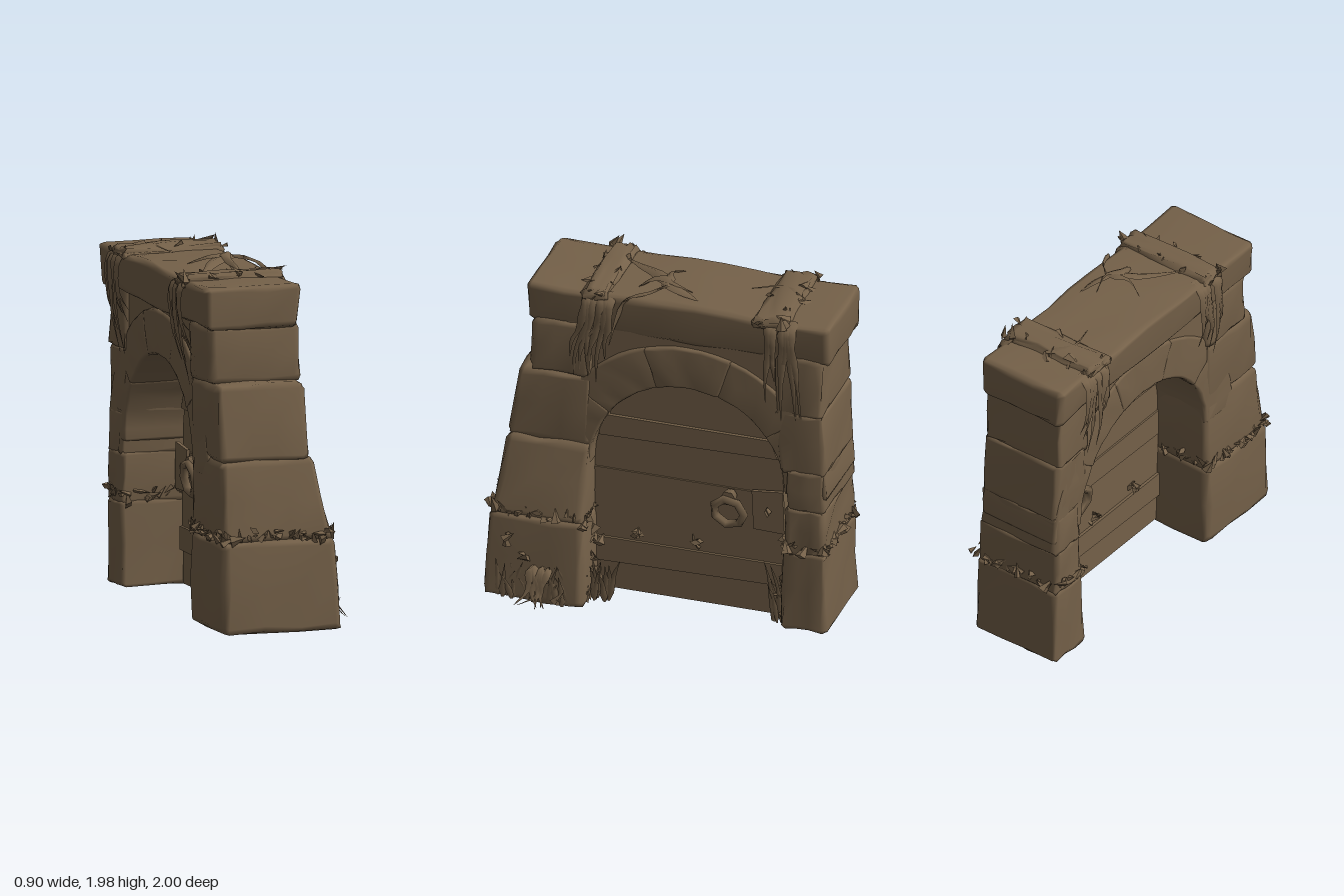
import * as THREE from 'three';
import { mergeVertices, mergeGeometries, toCreasedNormals } from 'three/addons/utils/BufferGeometryUtils.js';

const brown = new THREE.MeshStandardMaterial({ color: 0x756149, side: THREE.DoubleSide });
brown.name = 'weathered brown';

let seed = 7;
const rnd = () => ((seed = (seed * 16807) % 2147483647) / 2147483647);
const spread = (a) => (rnd() - 0.5) * 2 * a;
const V = (x, y, z) => new THREE.Vector3(x, y, z);

export function createModel() {
  const group = new THREE.Group();
  group.name = 'stoneArchDoorway';

  function add(name, geo) {
    const mesh = new THREE.Mesh(geo, brown);
    mesh.name = name;
    group.add(mesh);
  }

  // Rounded block; map turns (u, v, w) in -1..1 into its place, size sets the rounding
  function block(name, size, map, bevel = 0.04, rough = 0.009, n = [5, 4, 5]) {
    let g = new THREE.BoxGeometry(2, 2, 2, ...n);
    g.deleteAttribute('normal');
    g.deleteAttribute('uv');
    g = mergeVertices(g);
    const p = g.attributes.position;
    const half = size.map((s) => s / 2);
    for (let i = 0; i < p.count; i++) {
      const q = [p.getX(i), p.getY(i), p.getZ(i)].map((c, k) => (Math.abs(c) > 0.99
        ? Math.sign(c) * half[k] : c / (1 - 2 / n[k]) * (half[k] - bevel)));
      const core = V(...q.map((c, k) => THREE.MathUtils.clamp(c, bevel - half[k], half[k] - bevel)));
      const out = V(...q).sub(core);
      if (out.length() > 0) out.setLength(bevel);
      core.add(out);
      const m = map(core.x / half[0], core.y / half[1], core.z / half[2]);
      p.setXYZ(i, m.x + spread(rough), Math.max(0, m.y + spread(rough)), m.z + spread(rough));
    }
    g.computeVertexNormals();
    add(name, g);
  }

  // Block that tapers from its base rectangle to its top rectangle: [x0, x1, z0, z1]
  function taper(name, y0, y1, base, top, bevel, rough) {
    const size = [base[1] - base[0], y1 - y0, base[3] - base[2]];
    block(name, size, (u, v, w) => {
      const r = base.map((b, k) => THREE.MathUtils.lerp(b, top[k], (v + 1) / 2));
      return V(THREE.MathUtils.lerp(r[0], r[1], (u + 1) / 2),
        THREE.MathUtils.lerp(y0, y1, (v + 1) / 2),
        THREE.MathUtils.lerp(r[2], r[3], (w + 1) / 2));
    }, bevel, rough);
  }

  // Extrude a (z, y) outline from x0 to x1
  function slab(name, shape, x0, x1) {
    const g = new THREE.ExtrudeGeometry(shape, { depth: x1 - x0, bevelEnabled: false, curveSegments: 24 });
    g.rotateY(-Math.PI / 2).translate(x1, 0, 0);
    add(name, toCreasedNormals(g, 0.6));
  }

  // Wide front pillar
  taper('widePillar', 0, 0.52, [-0.365, 0.335, 0.4, 0.98], [-0.36, 0.3, 0.405, 0.955]);
  taper('widePillar', 0.5, 0.96, [-0.36, 0.295, 0.41, 0.945], [-0.34, 0.19, 0.41, 0.88]);
  taper('widePillar', 0.94, 1.38, [-0.34, 0.175, 0.41, 0.89], [-0.36, 0.165, 0.4, 0.825]);
  taper('widePillar', 1.36, 1.7, [-0.365, 0.165, 0.4, 0.765], [-0.37, 0.16, 0.4, 0.75]);
  // Narrow rear pillar
  taper('narrowPillar', 0.02, 0.5, [-0.36, 0.2, -0.97, -0.695], [-0.355, 0.19, -0.96, -0.72], 0.025);
  taper('narrowPillar', 0.48, 0.77, [-0.355, 0.19, -0.955, -0.725], [-0.35, 0.18, -0.95, -0.725], 0.025);
  taper('narrowPillar', 0.75, 1.0, [-0.35, 0.175, -0.955, -0.73], [-0.345, 0.17, -0.945, -0.73], 0.025);
  taper('narrowPillar', 0.98, 1.36, [-0.34, 0.17, -0.95, -0.69], [-0.35, 0.165, -0.935, -0.66], 0.025);
  taper('narrowPillar', 1.34, 1.7, [-0.355, 0.165, -0.93, -0.66], [-0.355, 0.16, -0.925, -0.66], 0.025);

  // Wall above the opening
  const cz = -0.15, cy = 0.84, R = 0.57;
  const wall = new THREE.Shape([new THREE.Vector2(-0.86, cy), new THREE.Vector2(-0.86, 1.7),
    new THREE.Vector2(0.55, 1.7), new THREE.Vector2(0.55, cy)]);
  wall.lineTo(cz + R, cy);
  wall.absarc(cz, cy, R, 0, Math.PI, false);
  slab('archWall', wall, -0.33, 0.14);

  // Arch stones
  const stones = 5;
  for (let i = 0; i < stones; i++) {
    const mid = (i + 0.5) * Math.PI / stones;
    const x1 = 0.16 + spread(0.006);
    block('archStone', [0.5, 0.26, 0.46], (u, v, w) => {
      const a = mid + w * Math.PI / stones / 2 * 1.04;
      const r = 0.685 + v * 0.125;
      return V((x1 - 0.345) / 2 + u * (x1 + 0.345) / 2, cy + Math.sin(a) * r, cz + Math.cos(a) * r);
    }, 0.018, 0.004, [4, 4, 8]);
  }

  // Lintel, a little narrower along its lower edge
  block('lintel', [0.57, 0.25, 1.75], (u, v, w) => V(
    -0.12 + u * (0.275 + 0.01 * v), 1.79 + v * (0.12 + 0.008 * Math.cos(w * 5)), -0.095 + w * 0.878,
  ), 0.035, 0.007, [5, 3, 11]);

  // Door planks, cut to the arch
  const dz = -0.135, dr = 0.545;
  const halfWidth = (y) => (y <= cy ? dr : Math.sqrt(Math.max(0, dr * dr - (y - cy) ** 2)));
  const keyhole = () => new THREE.Path([[-0.585, 0.68], [-0.6, 0.65], [-0.625, 0.69], [-0.6, 0.715]]
    .map(([z, y]) => new THREE.Vector2(z, y)));
  const planks = [[0.03, 0.22, 0], [0.22, 0.35, 0.02], [0.35, 0.64, 0.004], [0.64, 0.78, 0.01],
    [0.78, 1.01, 0], [1.01, 1.12, 0.02], [1.12, cy + dr, 0]];
  planks.forEach(([y0, y1, out], i) => {
    const left = [], right = [];
    for (let k = 0; k <= 10; k++) {
      const y = THREE.MathUtils.lerp(y0, y1, k / 10);
      const w = halfWidth(y);
      right.push(new THREE.Vector2(dz + w, y - (k === 0 && i > 0 ? 0.02 : 0)));
      left.unshift(new THREE.Vector2(dz - w, y));
    }
    const shape = new THREE.Shape([...right, ...left]);
    if (i === 3) shape.holes.push(keyhole());
    slab('doorPlank', shape, -0.01 - out, 0.075 + out);
  });

  // Lock plates and ring handles on both faces
  const plate = new THREE.Shape([[-0.7, 0.56], [-0.52, 0.565], [-0.51, 0.8], [-0.69, 0.82]]
    .map(([z, y]) => new THREE.Vector2(z, y)));
  plate.holes.push(keyhole());
  for (const [x, s] of [[0.095, 1], [-0.03, -1]]) {
    slab('lockPlate', plate, Math.min(x, x + s * 0.02), Math.max(x, x + s * 0.02));
    const ring = new THREE.TorusGeometry(0.088, 0.026, 5, 7).rotateY(Math.PI / 2).rotateZ(-s * 0.15);
    add('ringHandle', ring.translate(x + s * 0.045, 0.66, -0.385));
    const knob = new THREE.CylinderGeometry(0.035, 0.045, 0.06, 6).rotateZ(Math.PI / 2);
    add('handleMount', knob.translate(x + s * 0.03, 0.75, -0.385));
  }

  // Folded, tapering ribbon along a curve; side is the width direction, lift raises the fold
  function ribbon(points, width, side, lift) {
    const curve = new THREE.CatmullRomCurve3(points);
    const n = points.length * 2, pos = [], idx = [];
    for (let i = 0; i <= n; i++) {
      const t = i / n, c = curve.getPoint(t);
      const w = width * Math.min(1, t * 4 + 0.3) * (1 - t * 0.95) * (1 + spread(0.3));
      for (const k of [-1, 0, 1]) {
        const q = c.clone().addScaledVector(side, k * w);
        if (k === 0) q.addScaledVector(lift, w * 0.8);
        pos.push(q.x, q.y, q.z);
      }
      if (i < n) for (const k of [0, 1]) {
        const a = i * 3 + k;
        idx.push(a, a + 1, a + 3, a + 1, a + 4, a + 3);
      }
    }
    const g = new THREE.BufferGeometry();
    g.setAttribute('position', new THREE.Float32BufferAttribute(pos, 3));
    g.setIndex(idx);
    g.computeVertexNormals();
    return g;
  }
  const Z = V(0, 0, 1), Y = V(0, 1, 0);

  // Vines hanging over both faces of the lintel and drooping back to the wall
  const vines = [];
  for (const [z0, low, count] of [[0.37, 1.3, 8], [-0.66, 1.25, 7]]) {
    for (const s of [1, -1]) for (let i = 0; i < count; i++) {
      const face = s > 0 ? 0.17 : -0.41, z = z0 + spread(0.1);
      const end = low + rnd() * 0.35, drift = spread(0.05) + (z0 > 0 ? 0.05 : 0);
      vines.push(ribbon([V(face - s * 0.06, 1.91, z), V(face + s * 0.005, 1.87, z),
        V(face + s * 0.012, 1.7, z + drift * 0.4), V(face + s * (s > 0 ? 0.015 : 0), (1.72 + end) / 2, z + drift),
        V(face - s * (s > 0 ? 0.005 : 0.04), end, z + drift * 1.2)], 0.042, Z, V(s * 0.7, 0, 0)));
    }
  }
  add('hangingVines', mergeGeometries(vines));

  // Moss mats where the vines cross the lintel top
  for (const [z0, z1] of [[0.3, 0.47], [-0.74, -0.52]]) {
    taper('mossMat', 1.87, 1.935, [-0.42, 0.185, z0, z1], [-0.4, 0.165, z0 + 0.02, z1 - 0.02], 0.02, 0.012);
  }

  // Roots creeping over the lintel top
  const roots = [
    [V(0.02, 1.95, 0), V(0.1, 1.94, 0.06), V(0.165, 1.9, 0.2), V(0.175, 1.75, 0.26), V(0.17, 1.6, 0.3)],
    [V(0.02, 1.96, 0.02), V(-0.1, 1.94, 0.1), V(-0.2, 1.92, 0.24), V(-0.28, 1.915, 0.36)],
    [V(0.04, 1.95, 0), V(-0.1, 1.96, 0.03), V(-0.22, 1.92, -0.02)],
    [V(0, 1.95, 0.04), V(0.05, 1.94, -0.08), V(0.08, 1.915, -0.2)],
    [V(0, 1.9, 0.18), V(-0.03, 1.96, 0.07), V(0.02, 1.97, -0.02), V(0.0, 1.92, -0.13)],
    [V(-0.1, 1.92, -0.72), V(-0.2, 1.935, -0.6), V(-0.16, 1.915, -0.42)],
  ];
  add('roots', mergeGeometries(roots.map((r) => ribbon(r, 0.045, V(0.7, -0.2, 0.7), V(0, 0.6, 0)))));

  // Small pointed leaves scattered around a point
  function leaves(list, x, y, z, count, area, size) {
    for (let i = 0; i < count; i++) {
      const s = size * (0.6 + rnd() * 0.8);
      const g = new THREE.ConeGeometry(s * 0.55, s * 1.4, 4).scale(1, 1, 0.5);
      g.rotateX(spread(1.6)).rotateY(rnd() * 6).rotateZ(spread(1.4));
      list.push(g.translate(x + spread(area), y + spread(area * 0.8), z + spread(area)).toNonIndexed());
    }
  }
  function leafMesh(name, list) {
    const g = mergeGeometries(list);
    g.computeVertexNormals();
    add(name, g);
  }

  // Leaf bands circling the pillars
  function band(name, x0, x1, z0, z1) {
    const list = [];
    const corners = [V(x1, 0.54, z0), V(x1, 0.55, z1), V(x0, 0.54, z1), V(x0, 0.55, z0)];
    corners.forEach((c, i) => {
      const d = corners[(i + 1) % 4], n = Math.round(c.distanceTo(d) / 0.05);
      for (let k = 0; k < n; k++) {
        const q = c.clone().lerp(d, k / n);
        leaves(list, q.x, q.y + spread(0.02), q.z, 2, 0.02, 0.048);
      }
    });
    leafMesh(name, list);
  }
  band('widePillarLeaves', -0.355, 0.28, 0.42, 0.945);
  band('narrowPillarLeaves', -0.35, 0.19, -0.95, -0.73);

  // Leaf patches on the lintel, the door and the pillar feet
  const patches = [];
  for (const z of [0.44, 0.34, -0.58, -0.7]) {
    for (const x of [-0.4, -0.25, -0.1, 0.05, 0.165]) leaves(patches, x, 1.915, z, 2, 0.03, 0.05);
  }
  for (const z of [0.17, -0.17]) for (const x of [0.09, -0.02]) leaves(patches, x, 0.41, z, 6, 0.025, 0.045);
  for (const y of [0.08, 0.18, 0.28, 0.38]) {
    leaves(patches, 0.24 - y * 0.2, y, 0.38, 4, 0.04, 0.055);
    leaves(patches, 0.13, y, -0.69, 2, 0.025, 0.045);
    leaves(patches, 0.325 - y * 0.06, y, 0.46 + y, 3, 0.03, 0.055);
  }
  leafMesh('leafPatches', patches);

  // Grass at the pillar feet
  const grass = [];
  function tuft(x, z, n, height, lean) {
    for (let i = 0; i < n; i++) {
      const h = height * (0.5 + rnd() * 0.5), bx = x + spread(0.02), bz = z + spread(0.06);
      const o = lean * (0.5 + rnd() * 0.5), zz = spread(0.08);
      grass.push(ribbon([V(bx, 0.01, bz), V(bx + o * 0.2, h * 0.6, bz + zz * 0.4), V(bx + o, h, bz + zz)], 0.025, Z, V(0.6, 0, 0)));
    }
  }
  for (const z of [0.5, 0.63, 0.76, 0.86]) tuft(0.322, z, 5, 0.26, 0.02);
  tuft(0.2, 0.35, 9, 0.38, 0.05);
  tuft(0.13, -0.68, 8, 0.4, 0.04);
  for (let i = 0; i < 6; i++) {
    const z = 0.62 + spread(0.08);
    grass.push(ribbon([V(0.31, 0.22, z), V(0.37, 0.2, z), V(0.4, 0.1, z + spread(0.05)),
      V(0.4 + rnd() * 0.055, 0.03, z + spread(0.08))], 0.035, Z, Y));
  }
  add('grass', mergeGeometries(grass));
  return group;
}
